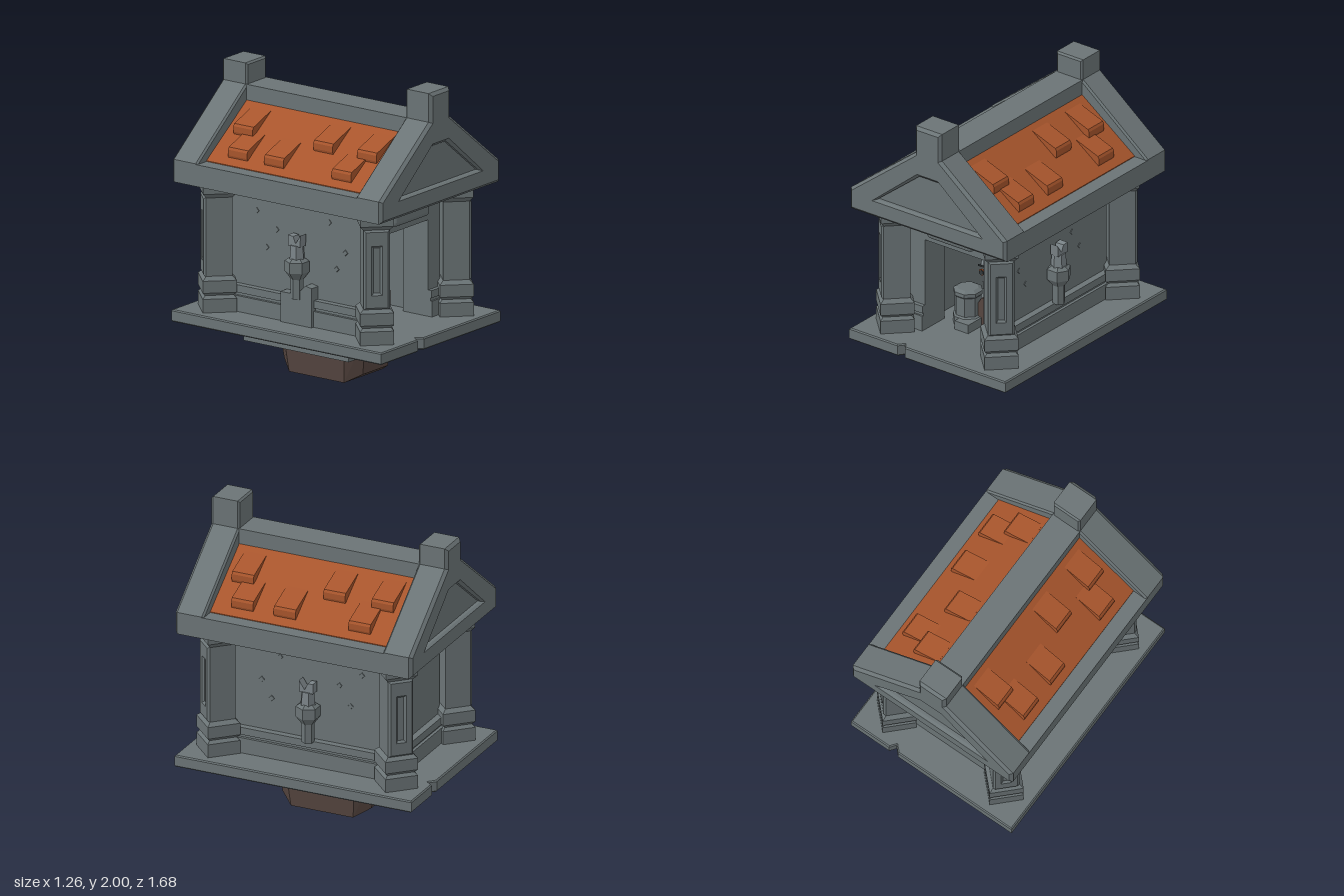
import * as THREE from 'three';
import { ConvexGeometry } from 'three/addons/geometries/ConvexGeometry.js';
import { RoundedBoxGeometry } from 'three/addons/geometries/RoundedBoxGeometry.js';

const mat = (name, color) => Object.assign(new THREE.MeshStandardMaterial({ color }), { name });

export function createModel() {
  const model = new THREE.Group();
  const stone = mat('stone', 0x6b7476);
  const paleStone = mat('pale stone', 0x7a8387);
  const tile = mat('orange tile', 0xa8552c);
  const earth = mat('brown wood', 0x564640);
  const dark = mat('dark hollow', 0x33393b);

  // Helpers: faceted mesh, box from limits, outline extruded along z
  const add = (name, geo, material, parent = model) => {
    const g = geo.index ? geo.toNonIndexed() : geo;
    g.computeVertexNormals();
    const m = new THREE.Mesh(g, material);
    m.name = name;
    parent.add(m);
    return m;
  };
  const box = (name, x0, x1, y0, y1, z0, z1, material = stone, parent = model) =>
    add(name, new THREE.BoxGeometry(x1 - x0, y1 - y0, z1 - z0)
      .translate((x0 + x1) / 2, (y0 + y1) / 2, (z0 + z1) / 2), material, parent);
  const outline = (pts) => new THREE.Shape(pts.map(([x, y]) => new THREE.Vector2(x, y)));
  const extrude = (pts, z0, z1, hole, bevel = 0) => {
    const s = outline(pts);
    if (hole) s.holes.push(outline(hole));
    return new THREE.ExtrudeGeometry(s, {
      depth: z1 - z0 - 2 * bevel, bevelEnabled: bevel > 0, bevelThickness: bevel,
      bevelSize: bevel, bevelOffset: -bevel, bevelSegments: 1,
    }).translate(0, 0, z0 + bevel);
  };
  const rect = (x, y) => [[-x, -y], [x, -y], [x, y], [-x, y]];
  const lathe = (pts, sides) =>
    new THREE.LatheGeometry(pts.map(([r, y]) => new THREE.Vector2(r, y)), sides);

  // Foundation: earth plug, open frame and notched slab
  const plug = [];
  for (const x of [-1, 1]) for (const z of [-1, 1]) {
    plug.push(new THREE.Vector3(x * 0.24, 0.32, z * 0.25), new THREE.Vector3(x * 0.16, 0.32, z * 0.35),
      new THREE.Vector3(x * 0.205, 0, z * 0.22), new THREE.Vector3(x * 0.13, 0.055, z * 0.315));
  }
  add('earthPlug', new ConvexGeometry(plug), earth);
  add('foundationFrame', extrude(rect(0.42, 0.42), 0.22, 0.32, rect(0.36, 0.37)).rotateX(-Math.PI / 2), stone);
  const slab = [[-0.63, -0.84], [-0.24, -0.84], [-0.21, -0.8], [-0.18, -0.84], [0.63, -0.84],
    [0.63, 0.84], [0.33, 0.84], [0.3, 0.8], [0.26, 0.84], [-0.63, 0.84]];
  add('baseSlab', extrude(slab, 0.32, 0.4, null, 0.008).rotateX(-Math.PI / 2), stone);

  // Walls with a doorway in the front and a banded plinth
  const wx = 0.36, wz = 0.56;
  const bands = [[0.4, 0.505, 0.05], [0.505, 0.525, 0.03], [0.525, 0.575, 0.045]];
  for (const s of [-1, 1]) {
    const a = s * wx, b = s * (wx - 0.06);
    box('sideWall', Math.min(a, b), Math.max(a, b), 0.4, 1.26, -wz, wz);
    for (const [y0, y1, out] of bands) {
      box('sidePlinth', s > 0 ? wx : -wx - out, s > 0 ? wx + out : -wx, y0, y1, -wz, wz);
      box('frontPlinth', s > 0 ? 0.235 : -wx, s > 0 ? wx : -0.235, y0, y1, wz, wz + out * 0.6);
    }
    // Small chips on the side walls
    for (const [z, y] of [[0.35, 0.92], [0.28, 0.8], [-0.2, 0.98], [-0.28, 0.85], [-0.36, 1.08], [0.22, 1.1]]) {
      add('wallChip', new THREE.CylinderGeometry(0.018, 0.02, 0.004, 4).rotateZ(-s * Math.PI / 2)
        .translate(s * (wx + 0.002), y, z), stone);
    }
  }
  add('frontWall', extrude([[-wx, 0.4], [-0.235, 0.4], [-0.235, 1.04], [0.235, 1.04], [0.235, 0.4], [wx, 0.4],
    [wx, 1.26], [-wx, 1.26]], wz - 0.2, wz), stone);
  box('backWall', -wx, wx, 0.4, 1.26, -wz, -wz + 0.06);
  for (const [y0, y1, out] of bands) box('backPlinth', -wx, wx, y0, y1, -wz - out, -wz);
  add('doorPlaque', new RoundedBoxGeometry(0.37, 0.1, 0.08, 2, 0.03).translate(0, 1.14, wz + 0.02), stone);

  // Corner pillars turned diagonally, each with a sunken panel on its outer face
  const pillarProfile = [[0, 0.4], [0.155, 0.4], [0.155, 0.49], [0.13, 0.51], [0.155, 0.53], [0.155, 0.61],
    [0.12, 0.635], [0.12, 1.155], [0.152, 1.185], [0.152, 1.25], [0, 1.25]];
  for (const x of [-1, 1]) for (const z of [-1, 1]) {
    const pillar = new THREE.Group();
    pillar.name = 'pillar';
    add('pillarShaft', lathe(pillarProfile, 4), stone, pillar);
    const panel = [[-0.085, 0.63], [0.085, 0.63], [0.085, 1.16], [-0.085, 1.16]];
    const inset = [[-0.02, 0.74], [0.02, 0.74], [0.02, 1.04], [-0.02, 1.04]];
    const face = add('pillarPanel', extrude(panel, 0.07, 0.1, inset, 0.014), stone, pillar);
    face.rotation.y = Math.atan2(x, z);
    pillar.position.set(x * 0.42, 0, z * 0.63);
    model.add(pillar);
  }

  // Wall candles on brackets
  for (const s of [-1, 1]) {
    const candle = new THREE.Group();
    candle.name = 'wallCandle';
    add('bracket', lathe([[0, 0.57], [0.042, 0.57], [0.042, 0.7], [0.08, 0.75], [0.08, 0.82],
      [0.05, 0.84], [0, 0.84]], 6).rotateY(Math.PI / 6), stone, candle);
    add('candleStick', new THREE.CylinderGeometry(0.045, 0.052, 0.09, 6).translate(0, 0.88, 0), paleStone, candle);
    const tip = extrude([[-0.045, 0.92], [0.05, 0.92], [0.05, 0.99], [0.01, 0.985], [-0.01, 0.94], [-0.05, 1.0]],
      -0.03, 0.03);
    add('brokenTip', tip.rotateY(Math.PI / 2), paleStone, candle);
    candle.position.x = s * (wx + 0.05);
    model.add(candle);
  }
  const shard = [[-0.13, 0.4], [0.12, 0.4], [0.12, 0.6], [0.05, 0.6], [-0.02, 0.61], [-0.08, 0.67], [-0.13, 0.66]];
  const broken = add('brokenSlab', extrude(shard, -0.055, 0.055).rotateY(Math.PI / 2), stone);
  broken.position.x = -0.375;

  // Roof: eaves, ridge and orange slopes
  box('eaves', -0.63, 0.63, 1.25, 1.395, -0.66, 0.66);
  box('ridge', -0.105, 0.105, 1.39, 1.81, -0.66, 0.66);
  add('roofSlopes', extrude([[-0.53, 1.38], [0.53, 1.38], [0.53, 1.4], [0.1, 1.71], [-0.1, 1.71], [-0.53, 1.4]],
    -0.64, 0.64), tile);
  const tileRows = { '-1': [[-0.42, -0.13, 0.41], [-0.49, 0.15, 0.5]], 1: [[-0.4, 0.13, 0.43], [-0.49, -0.15, 0.5]] };
  for (const s of [-1, 1]) tileRows[s].forEach((row, i) => row.forEach((z) => {
    const dx = i * -0.15, dy = i * 0.11;
    const wedge = [[0.475, 1.42], [0.485, 1.45], [0.485, 1.487], [0.475, 1.503], [0.29, 1.572], [0.29, 1.54]]
      .map(([x, y]) => [s * (x + dx), y + dy]);
    add('raisedTile', extrude(wedge, z - 0.077, z + 0.077), tile);
  }));

  // Gables with a sunken field and a square finial
  const field = [[-0.42, 1.375], [0.42, 1.375], [0.077, 1.645], [-0.077, 1.645]];
  for (const [s, top] of [[1, 2], [-1, 1.95]]) {
    const gable = new THREE.Group();
    gable.name = s > 0 ? 'frontGable' : 'backGable';
    const shape = [[-0.63, 1.25], [0.63, 1.25], [0.63, 1.4], [0.105, 1.81], [0.105, top], [-0.105, top],
      [-0.105, 1.81], [-0.63, 1.4]];
    add('gableBody', extrude(shape, 0.635, 0.8, null, 0.012), stone, gable);
    add('gableFace', extrude(shape, 0.76, 0.84, field, 0.02), stone, gable);
    if (s < 0) gable.rotation.y = Math.PI;
    model.add(gable);
  }

  // Interior: coffin, stone casket, plinth blocks and a railing
  const inside = new THREE.Group();
  inside.name = 'cryptInterior';
  model.add(inside);
  box('coffin', -0.02, 0.18, 0.4, 0.54, -0.1, 0.3, earth, inside);
  add('coffinLid', extrude([[-0.02, 0.54], [0.18, 0.54], [0.13, 0.59], [0.1, 0.6], [0.02, 0.6]], -0.1, 0.3), earth, inside);
  box('altar', -0.09, 0.13, 0.4, 0.68, -0.35, -0.12, stone, inside);
  box('shelf', -0.29, -0.08, 0.8, 1.02, -0.5, -0.3, stone, inside);
  box('step', -0.09, 0.02, 0.4, 0.46, 0.3, 0.44, stone, inside);
  const casket = add('stoneCasket', lathe([[0, 0.4], [0.1, 0.4], [0.1, 0.46], [0.088, 0.47], [0.088, 0.6], [0.097, 0.61],
    [0.097, 0.635], [0.07, 0.65], [0, 0.65]], 8).rotateY(Math.PI / 8), stone, inside);
  casket.position.set(-0.09, 0, 0.3);
  for (let i = 0; i < 5; i++) {
    const x = 0.1 + i * 0.035, z = -0.15 + i * 0.06;
    box('railBar', x - 0.007, x + 0.007, 0.4, 0.87, z - 0.007, z + 0.007, stone, inside);
    add('railSpike', new THREE.ConeGeometry(0.017, 0.07, 4).translate(x, 0.9, z), stone, inside);
  }

  // Tapering horn along a path of points
  const horn = (path, parent) => path.slice(1).forEach(([x, y], i) => {
    const [px, py] = path[i], r = 0.026 - i * 0.008;
    add('horn', new THREE.CylinderGeometry(r - 0.008, r, Math.hypot(x - px, y - py) + 0.01, 6)
      .rotateZ(-Math.atan2(x - px, y - py)).translate((x + px) / 2, (y + py) / 2, 0), tile, parent);
  });

  // Skull with one horn, hanging from a short chain; the other horn lies on the shelf
  const skull = new THREE.Group();
  skull.name = 'hornedSkull';
  add('cranium', new THREE.IcosahedronGeometry(0.085, 1), paleStone, skull);
  box('jaw', -0.045, 0.045, -0.11, -0.04, -0.02, 0.06, paleStone, skull);
  for (const s of [-1, 1]) {
    add('eyeRim', new THREE.CylinderGeometry(0.024, 0.024, 0.008, 6).rotateX(Math.PI / 2)
      .translate(s * 0.033, -0.03, 0.08), tile, skull);
    add('eyeSocket', new THREE.CylinderGeometry(0.018, 0.018, 0.008, 6).rotateX(Math.PI / 2)
      .translate(s * 0.033, -0.03, 0.084), dark, skull);
    box('brow', s * 0.035 - 0.025, s * 0.035 + 0.025, 0.01, 0.02, 0.078, 0.086, dark, skull);
  }
  horn([[0.065, 0.02], [0.13, 0.04], [0.165, 0.1], [0.165, 0.19]], skull);
  for (let i = 0; i < 3; i++)
    add('chainLink', new THREE.TorusGeometry(0.02, 0.006, 4, 8).rotateY(i * Math.PI / 2)
      .translate(0, 0.1 + i * 0.035, 0), stone, skull);
  box('chainHook', -0.035, 0.035, 0.19, 0.24, -0.02, 0.02, dark, skull);
  skull.position.set(0, 0.77, 0.15);
  inside.add(skull);
  const loose = new THREE.Group();
  loose.name = 'looseHorn';
  horn([[-0.08, 0.95], [-0.11, 0.975], [-0.15, 1.0], [-0.165, 1.04]], loose);
  loose.position.z = -0.27;
  inside.add(loose);

  return model;
}
